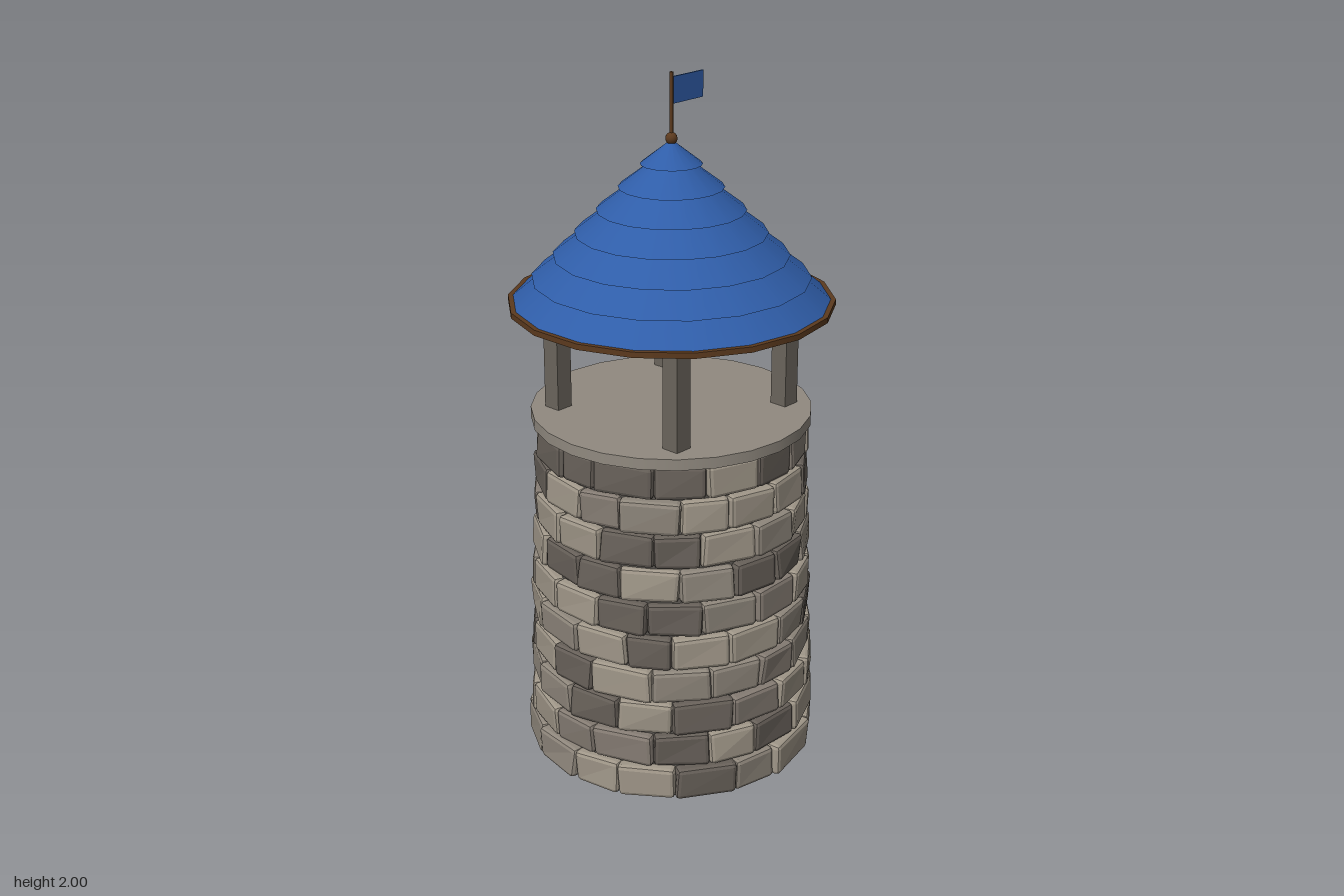
import * as THREE from 'three';
import { RoundedBoxGeometry } from 'three/addons/geometries/RoundedBoxGeometry.js';

const material = (name, color) => {
  const m = new THREE.MeshStandardMaterial({ color });
  m.name = name;
  return m;
};

// Small seeded generator for the irregular masonry
let seed = 7;
const random = () => {
  seed = (seed * 16807) % 2147483647;
  return seed / 2147483647;
};
const jitter = (amount) => (random() * 2 - 1) * amount;

// Bevelled stone whose eight corners are each nudged a little
function stoneGeometry(width, height, depth) {
  const geometry = new RoundedBoxGeometry(width, height, depth, 1, 0.012);
  const nudges = Array.from({ length: 8 }, () => [jitter(0.004), jitter(0.0025), jitter(0.005)]);
  const p = geometry.attributes.position;
  for (let i = 0; i < p.count; i++) {
    const x = p.getX(i), y = p.getY(i), z = p.getZ(i);
    const n = nudges[(x > 0 ? 1 : 0) + (y > 0 ? 2 : 0) + (z > 0 ? 4 : 0)];
    p.setXYZ(i, x + n[0], y + n[1], z + n[2]);
  }
  geometry.computeVertexNormals();
  return geometry;
}

export function createModel() {
  seed = 7;
  const model = new THREE.Group();
  model.name = 'watchtower';

  const blue = material('roofBlue', 0x2f5da8);
  const brown = material('darkWood', 0x5c3a1e);
  const mortar = material('mortar', 0x5a5651);
  const postGrey = material('weatheredWood', 0x6b655c);
  const slabGrey = material('slabStone', 0x918a80);
  const stones = [
    material('paleStone', 0xa09789),
    material('midStone', 0x8f877c),
    material('warmStone', 0x857c73),
    material('darkStone', 0x676059),
  ];

  const add = (name, geometry, mat, x = 0, y = 0, z = 0, parent = model) => {
    const mesh = new THREE.Mesh(geometry, mat);
    mesh.name = name;
    mesh.position.set(x, y, z);
    parent.add(mesh);
    return mesh;
  };

  // Tapered core behind the stones
  add('towerCore', new THREE.CylinderGeometry(0.362, 0.4, 1.016, 32), mortar, 0, 0.512, 0);

  // Ten staggered courses of stones
  const courses = 10, perCourse = 16, pitch = 0.102;
  const step = (Math.PI * 2) / perCourse;
  for (let row = 0; row < courses; row++) {
    const course = new THREE.Group();
    course.name = `stoneCourse${row + 1}`;
    model.add(course);
    const face = 0.42 - row * 0.0041;
    const joints = Array.from({ length: perCourse }, (_, i) =>
      (i + (row % 2) * 0.5 + jitter(0.1)) * step);
    for (let i = 0; i < perCourse; i++) {
      const start = joints[i];
      const end = i + 1 < perCourse ? joints[i + 1] : joints[0] + Math.PI * 2;
      const angle = (start + end) / 2;
      const width = 2 * face * Math.tan((end - start) / 2) - 0.006;
      const depth = 0.075;
      const r = face - depth / 2 + jitter(0.003);
      const pick = random();
      const mat = stones[pick < 0.36 ? 0 : pick < 0.62 ? 1 : pick < 0.8 ? 2 : 3];
      const stone = add('stone', stoneGeometry(width, 0.097, depth), mat,
        Math.sin(angle) * r, (row + 0.5) * pitch + 0.002, Math.cos(angle) * r, course);
      stone.rotation.y = angle;
    }
  }

  // Lookout floor
  add('lookoutFloor', new THREE.CylinderGeometry(0.4, 0.4, 0.032, 24), slabGrey, 0, 1.034, 0);

  // Four roof posts
  for (const x of [-1, 1]) for (const z of [-1, 1]) {
    add('roofPost', new THREE.BoxGeometry(0.053, 0.32, 0.053), postGrey, x * 0.227, 1.206, z * 0.227);
  }

  // Eave board under the roof
  add('eaveBoard', new THREE.CylinderGeometry(0.457, 0.457, 0.016, 18), brown, 0, 1.363, 0);

  // Overlapping conical roof tiers
  const roof = new THREE.Group();
  roof.name = 'roof';
  model.add(roof);
  const tiers = 7, rise = 0.0635;
  for (let i = 0; i < tiers; i++) {
    const bottom = 0.442 - i * 0.0607 - (i > 0 ? 0 : -0.002);
    const last = i === tiers - 1;
    const top = last ? 0.001 : bottom - 0.078;
    const height = last ? 0.066 : rise + 0.002;
    const y = 1.37 + i * rise;
    add('roofTier', new THREE.CylinderGeometry(top, bottom + 0.008 * (i > 0 ? 1 : 0), height, 18),
      blue, 0, y + height / 2, 0, roof);
  }

  // Finial, pole and flag
  add('finial', new THREE.SphereGeometry(0.017, 12, 8), brown, 0, 1.82, 0);
  add('flagPole', new THREE.CylinderGeometry(0.005, 0.005, 0.19, 8), brown, 0, 1.905, 0);
  add('flag', new THREE.BoxGeometry(0.12, 0.073, 0.005), blue, 0.065, 1.95, 0);

  return model;
}
